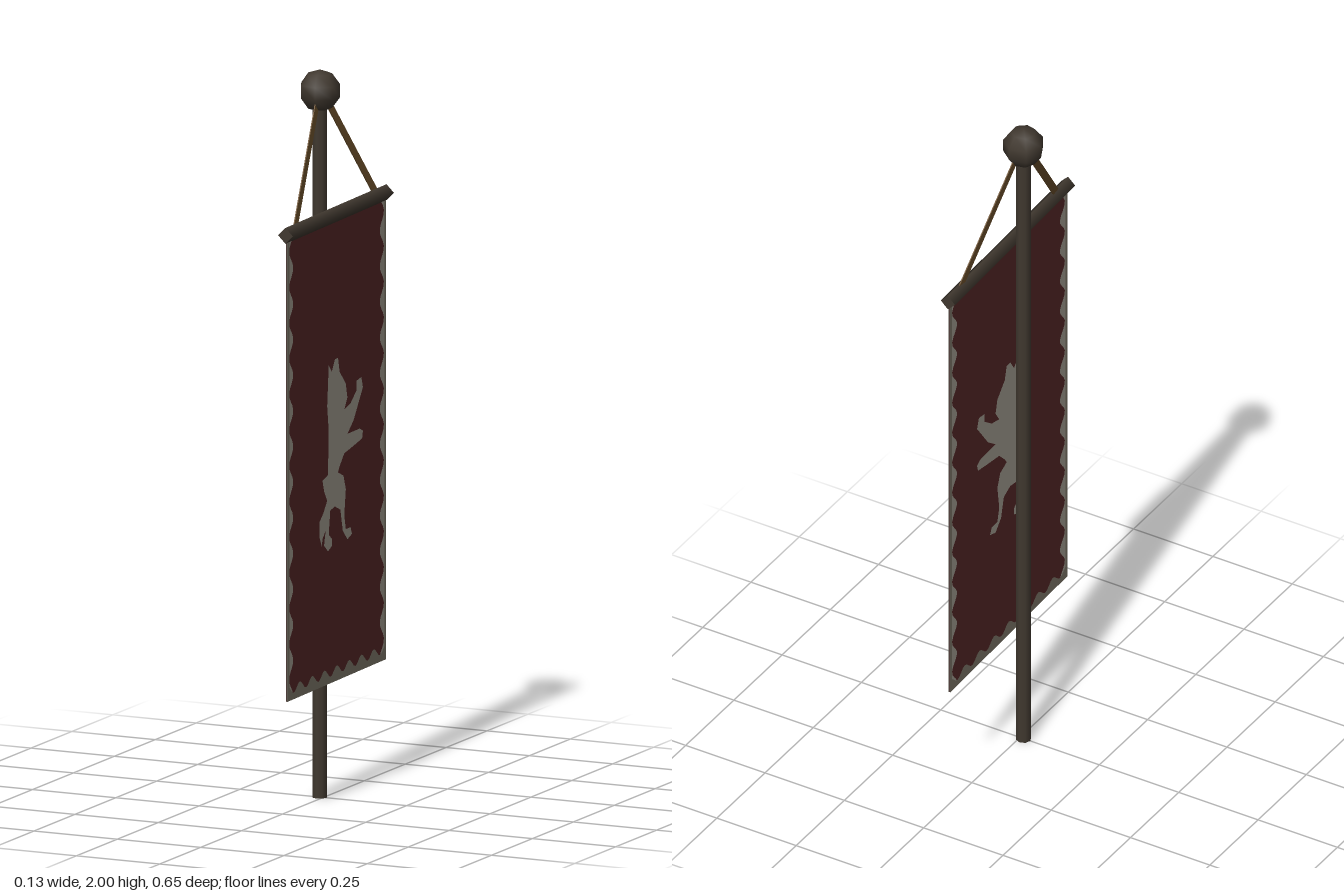
import * as THREE from 'three';

const mat = (name, color, side = THREE.FrontSide) => {
  const m = new THREE.MeshStandardMaterial({ color, side });
  m.name = name;
  return m;
};

export function createModel() {
  const wood = mat('dark wood', 0x40382f);
  const rope = mat('tan strap', 0x6b4f2a);
  const red = mat('red cloth', 0x542626, THREE.DoubleSide);
  const pale = mat('pale emblem', 0xa09a8e, THREE.DoubleSide);
  const trim = mat('grey trim', 0x7c7668, THREE.DoubleSide);

  const model = new THREE.Group();
  model.name = 'hangingBanner';
  const add = (parent, name, geo, material) => {
    const mesh = new THREE.Mesh(geo, material);
    mesh.name = name;
    parent.add(mesh);
    return mesh;
  };

  // Pole with a faceted round knob
  const poleX = -0.011;
  add(model, 'pole', new THREE.CylinderGeometry(0.021, 0.021, 1.92, 8), wood).position.set(poleX, 0.96, 0);
  add(model, 'knob', new THREE.SphereGeometry(0.058, 7, 5), wood).position.set(poleX, 1.942, 0);

  // Flat straps from the knob to the crossbar
  for (const s of [-1, 1]) {
    const a = new THREE.Vector3(-0.006, 1.925, s * 0.02);
    const b = new THREE.Vector3(0.037 + s * 0.006, 1.615, s * 0.26);
    const along = b.clone().sub(a);
    const length = along.length();
    along.normalize();
    const across = new THREE.Vector3().crossVectors(along, new THREE.Vector3(1, 0, 0)).normalize();
    const normal = new THREE.Vector3().crossVectors(across, along);
    const strap = add(model, s > 0 ? 'frontStrap' : 'backStrap', new THREE.BoxGeometry(0.024, length, 0.003), rope);
    strap.quaternion.setFromRotationMatrix(new THREE.Matrix4().makeBasis(across, along, normal));
    strap.position.copy(a).add(b).multiplyScalar(0.5);
  }

  // Slightly turned hanging group: crossbar and cloth
  const hanging = new THREE.Group();
  hanging.name = 'hanging';
  hanging.position.x = 0.038;
  hanging.rotation.y = 0.0246;
  model.add(hanging);
  const bar = add(hanging, 'crossbar', new THREE.CylinderGeometry(0.022, 0.022, 0.65, 4), wood);
  bar.rotation.x = Math.PI / 2;
  bar.position.y = 1.607;

  const cloth = new THREE.Group();
  cloth.name = 'cloth';
  cloth.rotation.y = Math.PI / 2;
  hanging.add(cloth);
  const W = 0.317, bottom = 0.325, top = 1.6;
  add(cloth, 'clothPanel', new THREE.PlaneGeometry(2 * W, top - bottom), red).position.y = (top + bottom) / 2;

  // Painted layers repeat on both faces of the cloth
  const paint = (name, points, material, depth) => {
    const geo = new THREE.ShapeGeometry(new THREE.Shape(points.map(([x, y]) => new THREE.Vector2(x, y))));
    for (const s of [-1, 1]) add(cloth, name, geo, material).position.z = s * depth;
  };
  const wave = (t) => 0.5 + 0.5 * Math.cos(2 * Math.PI * t);

  // Scalloped side borders with a narrow outer strip
  for (const s of [-1, 1]) {
    const edge = [[s * W, top], [s * W, bottom]];
    const steps = 13 * 8;
    for (let i = 0; i <= steps; i++) {
      const y = bottom + (top - bottom) * i / steps;
      edge.push([s * (0.305 - 0.027 * wave((y - 1.51) / 0.098)), y]);
    }
    paint('sideScallops', edge, pale, 0.0015);
    const inner = s * (W - 0.011);
    paint('sideStrip', [[s * W, top], [s * W, bottom], [inner, bottom], [inner, top]], trim, 0.0025);
  }

  // Scalloped bottom border
  const hem = [[W, bottom], [-W, bottom]];
  for (let i = 0; i <= 64; i++) {
    const u = -W + 2 * W * i / 64;
    hem.push([u, bottom + 0.018 + 0.024 * wave(u / (2 * W / 8))]);
  }
  paint('bottomScallops', hem, trim, 0.0025);

  // Rearing beast emblem, outlined clockwise from the crown (hundredths of a unit)
  const beast = [
    [-5, 120], [-3, 118], [-1, 121], [1, 121], [2, 117], [6, 113], [7, 109], [5, 106],
    [9, 107], [13, 110], [13, 112.5], [16, 113], [17, 110], [14, 106], [11, 102], [7, 99],
    [15, 99], [17, 98], [16.5, 96], [11, 95], [5, 94], [2, 91], [1, 89.5],
    [4.5, 88], [6, 84], [5, 77], [6, 73], [9, 73], [10, 71], [7, 70], [4, 73], [2.5, 79],
    [-1, 80.5], [-4, 80], [-5, 73.5], [-3, 72], [-3, 70], [-5.5, 69], [-8, 71], [-7, 75],
    [-9, 73], [-9.5, 71], [-11, 74], [-11, 78], [-8.5, 80], [-6, 83], [-8, 86], [-9, 89],
    [-5.5, 90], [-5, 102], [-6, 109]];
  paint('beastEmblem', beast.map(([x, y]) => [x / 100, y / 100]), pale, 0.0015);

  return model;
}
